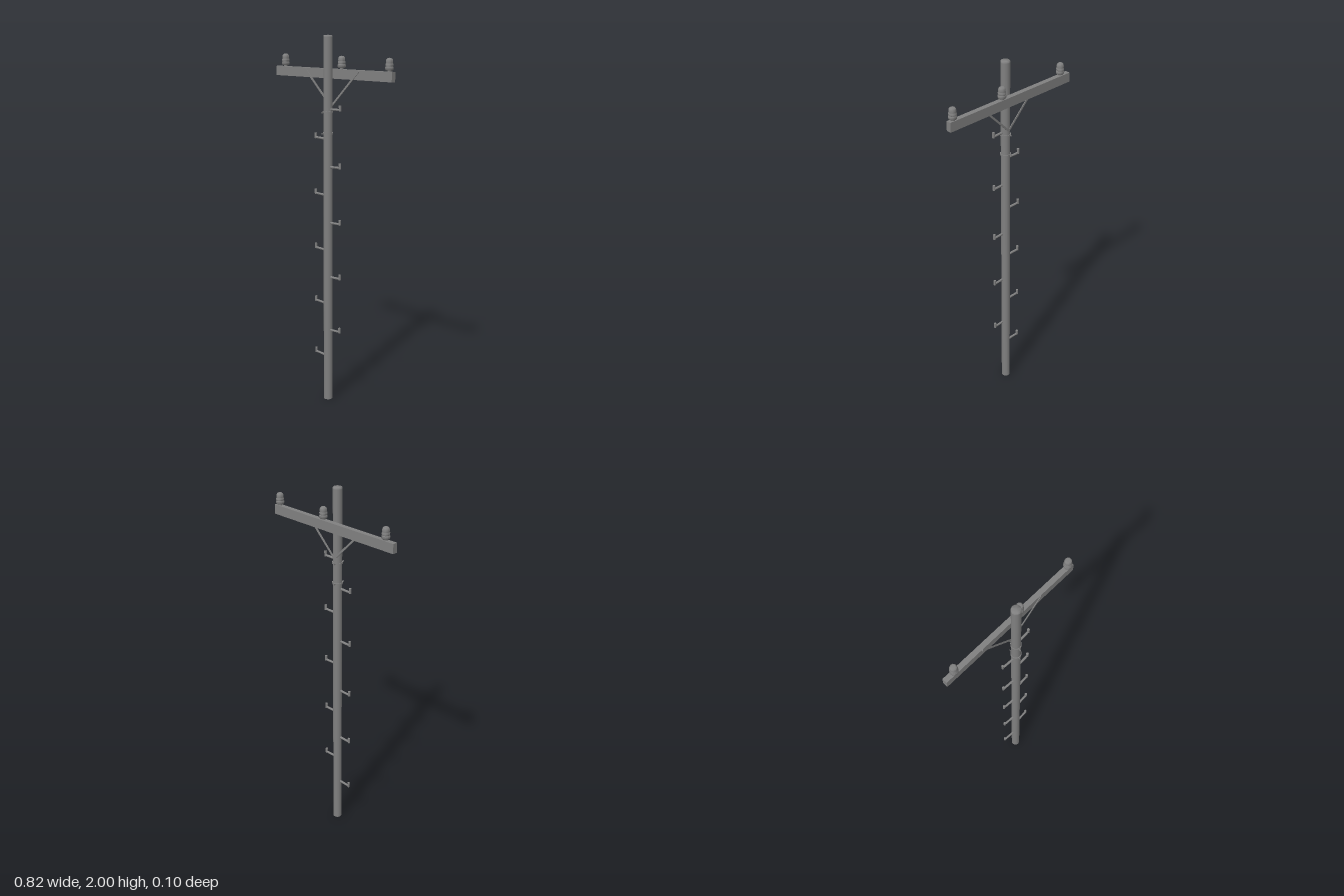
import * as THREE from 'three';
import { toCreasedNormals } from 'three/addons/utils/BufferGeometryUtils.js';

const POLE_X = 0.003;
const POLE_Z = 0.0105;
const POLE_R = 0.0245;
const ARM_Z = -0.0275;

export function createModel() {
  const model = new THREE.Group();
  const material = new THREE.MeshStandardMaterial({ color: 0x808080 });

  function add(parent, name, geometry, x = 0, y = 0, z = 0) {
    const mesh = new THREE.Mesh(toCreasedNormals(geometry, 0.9), material);
    mesh.name = name;
    mesh.position.set(x, y, z);
    parent.add(mesh);
    return mesh;
  }

  function lathe(points, sides) {
    return new THREE.LatheGeometry(points.map(([r, y]) => new THREE.Vector2(r, y)), sides);
  }

  // Round rod between two points
  function rod(parent, name, a, b, r0, r1) {
    const dir = b.clone().sub(a);
    const mesh = add(parent, name, new THREE.CylinderGeometry(r1, r0, dir.length(), 8));
    mesh.position.copy(a).add(b).multiplyScalar(0.5);
    mesh.quaternion.setFromUnitVectors(new THREE.Vector3(0, 1, 0), dir.normalize());
  }

  // Pole with a softly rounded top edge
  const poleProfile = [[0, 0], [POLE_R, 0], [POLE_R, 1.988], [POLE_R, 1.995], [0.021, 1.999], [0, 2]];
  add(model, 'pole', lathe(poleProfile, 12), POLE_X, 0, POLE_Z);

  // Crossarm, fixed to the back of the pole
  add(model, 'crossarm', new THREE.BoxGeometry(0.816, 0.05, 0.027), 0, 1.802, ARM_Z);

  // Flat diagonal braces from the pole up to the crossarm
  for (const side of [-1, 1]) {
    const reach = 0.19;
    const brace = add(model, 'brace', new THREE.BoxGeometry(reach * Math.SQRT2, 0.01, 0.004),
      POLE_X + side * reach / 2, 1.632 + reach / 2, -0.0125);
    brace.rotation.z = side * Math.PI / 4;
  }

  // Insulators: ribbed, dome-topped bells on short pins
  const bell = [
    [0, -0.004], [0.01, -0.004], [0.01, 0.006], [0.018, 0.007], [0.0215, 0.012], [0.0215, 0.022],
    [0.0185, 0.026], [0.0205, 0.03], [0.0205, 0.038], [0.0175, 0.042], [0.0185, 0.046],
    [0.0185, 0.054], [0.016, 0.061], [0.01, 0.066], [0, 0.068],
  ];
  for (const x of [-0.349, 0.064, 0.381]) {
    add(model, 'insulator', lathe(bell, 10), x, 1.827, ARM_Z);
  }

  // Clamp bands with a thin lug running front to back
  for (const y of [1.605, 1.494]) {
    const band = new THREE.Group();
    band.name = 'clampBand';
    band.position.set(POLE_X, y, POLE_Z);
    model.add(band);
    add(band, 'bandRing', new THREE.CylinderGeometry(0.028, 0.028, 0.009, 12));
    add(band, 'bandLug', new THREE.BoxGeometry(0.002, 0.008, 0.074), -0.008, 0, 0.0025);
  }

  // Climbing pegs, alternating from side to side
  for (let i = 0; i < 10; i++) {
    const side = i % 2 ? 1 : -1;
    const peg = new THREE.Group();
    peg.name = 'climbingPeg';
    peg.position.set(0, (side > 0 ? 0.259 : 0.255) + i * 0.1513, 0);
    model.add(peg);
    const tip = new THREE.Vector3(side * 0.0875, 0.001, 0.0095);
    rod(peg, 'pegRod', new THREE.Vector3(side * 0.015, -0.001, 0.013), tip, 0.0065, 0.006);
    rod(peg, 'pegHook', tip.clone().setY(-0.005), tip.clone().setY(0.024), 0.0065, 0.007);
  }

  return model;
}
